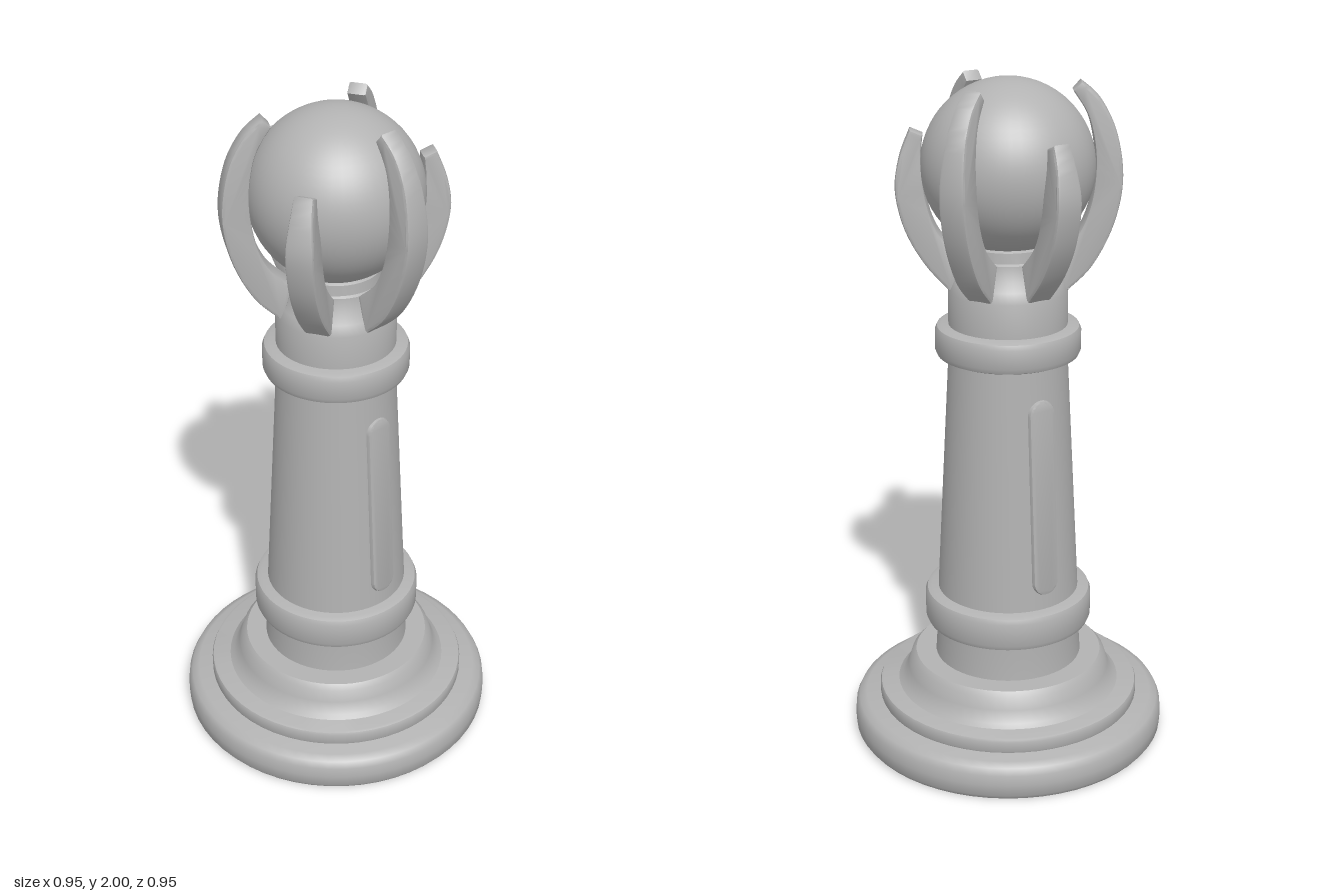
import * as THREE from 'three';
import { toCreasedNormals } from 'three/addons/utils/BufferGeometryUtils.js';

export function createModel() {
  const model = new THREE.Group();
  model.name = 'orbPillar';
  const stone = new THREE.MeshStandardMaterial({ color: 0xb2b2b2 });
  stone.name = 'grey stone';

  const add = (name, geometry, parent = model) => {
    const mesh = new THREE.Mesh(geometry, stone);
    mesh.name = name;
    parent.add(mesh);
    return mesh;
  };
  const v2 = ([x, y]) => new THREE.Vector2(x, y);
  // Turned part from [radius, height] pairs, bottom to top
  const turned = (name, profile) =>
    add(name, toCreasedNormals(new THREE.LatheGeometry(profile.map(v2), 56), 0.7));
  // Rounded band
  const band = (name, inner, r, y0, y1, e) => turned(name, [
    [inner, y0], [r - e, y0], [r - e * 0.3, y0 + e * 0.3], [r, y0 + e],
    [r, y1 - e], [r - e * 0.3, y1 - e * 0.3], [r - e, y1], [inner, y1]]);

  // Stepped base with a slightly hollowed underside
  turned('plinth', [[0, 0.012], [0.4, 0.012], [0.415, 0], [0.462, 0], [0.473, 0.015],
    [0.475, 0.05], [0.472, 0.08], [0.462, 0.1], [0.44, 0.11], [0, 0.112]]);
  band('baseStep', 0, 0.396, 0.105, 0.155, 0.01);
  turned('baseSlope', [[0.345, 0.15], [0.325, 0.165], [0.308, 0.2], [0.297, 0.235],
    [0.283, 0.25], [0, 0.252]]);
  turned('pedestalNeck', [[0.222, 0.24], [0.218, 0.3], [0.218, 0.37]]);

  // Tapered column between two bands
  band('lowerBand', 0, 0.251, 0.36, 0.47, 0.02);
  turned('column', [[0.212, 0.46], [0.172, 1.22]]);
  band('upperBand', 0, 0.211, 1.205, 1.3, 0.02);

  // Socket holding the orb
  turned('socket', [[0.172, 1.29], [0.172, 1.4], [0.16, 1.43], [0.142, 1.455],
    [0.135, 1.5], [0.128, 1.505], [0.125, 1.535], [0.11, 1.545], [0, 1.545]]);

  const orb = add('orb', new THREE.SphereGeometry(0.245, 48, 32));
  orb.position.y = 1.755;

  // Raised round-ended panels on the two sides of the column
  const slot = new THREE.Shape();
  slot.absarc(0, 0.257, 0.034, 0, Math.PI);
  slot.absarc(0, -0.257, 0.034, Math.PI, Math.PI * 2);
  slot.closePath();
  const panelGeometry = toCreasedNormals(new THREE.ExtrudeGeometry(slot, {
    depth: 0.03, bevelThickness: 0.008, bevelSize: 0.008, bevelSegments: 2, curveSegments: 10,
  }).translate(0, 0, -0.03), 0.5);
  for (const [side, name] of [[1, 'leftPanel'], [-1, 'rightPanel']]) {
    const holder = new THREE.Group();
    holder.rotation.y = side * Math.PI / 2;
    model.add(holder);
    const panel = add(name, panelGeometry, holder);
    panel.position.set(0, 0.815, 0.194);
    panel.rotation.x = -0.055;
  }

  // Claws: side outline as [radius, height], thinner toward the tip
  const claw = (outer, inner, top) => {
    const shape = new THREE.Shape();
    shape.moveTo(...outer[0]);
    shape.splineThru(outer.slice(1).map(v2));
    shape.lineTo(...inner[0]);
    shape.splineThru(inner.slice(1).map(v2));
    shape.closePath();
    const g = new THREE.ExtrudeGeometry(shape, {
      depth: 0.06, bevelThickness: 0.009, bevelSize: 0.008, bevelOffset: -0.008,
      bevelSegments: 2, curveSegments: 5,
    }).translate(0, 0, -0.03);
    const p = g.attributes.position;
    for (let i = 0; i < p.count; i++) {
      const t = THREE.MathUtils.smoothstep(p.getY(i), 1.7, top);
      p.setZ(i, p.getZ(i) * (1 - 0.3 * t));
    }
    return toCreasedNormals(g, 0.6);
  };
  const tallClaw = claw(
    [[0.16, 1.395], [0.235, 1.47], [0.295, 1.59], [0.319, 1.72], [0.3, 1.85], [0.255, 1.94], [0.2, 1.99]],
    [[0.178, 1.965], [0.222, 1.89], [0.242, 1.78], [0.232, 1.66], [0.195, 1.565], [0.13, 1.5]], 1.99);
  const shortClaw = claw(
    [[0.16, 1.395], [0.235, 1.48], [0.29, 1.58], [0.315, 1.69], [0.303, 1.78], [0.272, 1.86]],
    [[0.236, 1.845], [0.241, 1.77], [0.228, 1.66], [0.195, 1.57], [0.13, 1.5]], 1.86);
  for (let i = 0; i < 6; i++) {
    const tall = i % 2 === 0;
    add(tall ? 'tallClaw' : 'shortClaw', tall ? tallClaw : shortClaw).rotation.y = i * Math.PI / 3;
  }
  return model;
}
